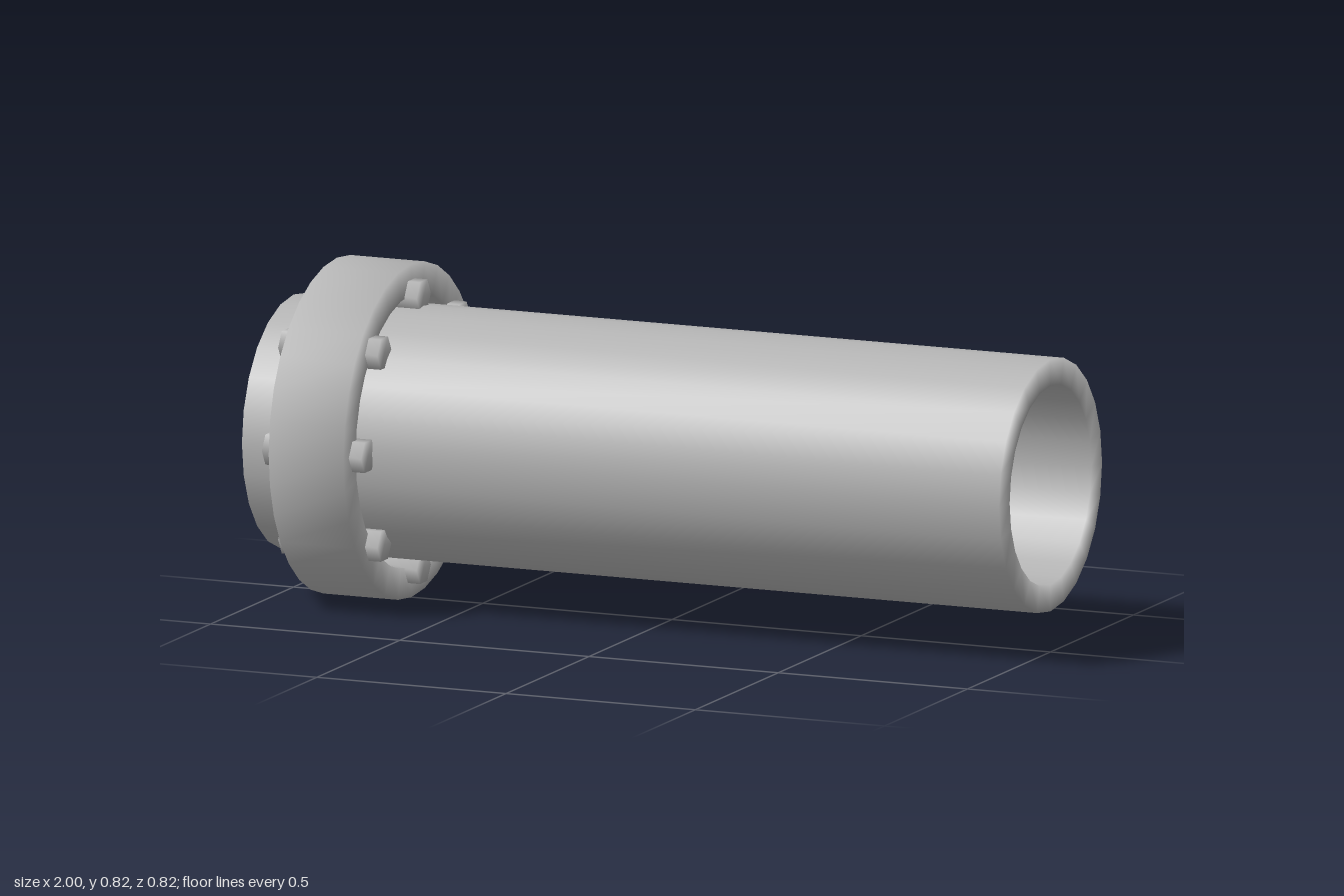
import * as THREE from 'three';
import { mergeVertices } from 'three/addons/utils/BufferGeometryUtils.js';

const AXIS_Y = 0.411;

// Weld all corners so shading rolls softly over the edges, then lay along x
function softAlongX(geometry) {
  geometry.deleteAttribute('uv');
  geometry.deleteAttribute('normal');
  const welded = mergeVertices(geometry, 1e-4);
  welded.computeVertexNormals();
  return welded.rotateZ(-Math.PI / 2);
}

// Hollow tube with closed annular ends
function tube(outer, inner, length, segments) {
  const h = length / 2;
  const profile = [[outer, -h], [outer, h], [inner, h], [inner, -h], [outer, -h]]
    .map(([r, y]) => new THREE.Vector2(r, y));
  return softAlongX(new THREE.LatheGeometry(profile, segments));
}

export function createModel() {
  const model = new THREE.Group();
  model.name = 'flangedPipe';
  const metal = new THREE.MeshStandardMaterial({ color: 0xb4b4b4 });
  metal.name = 'grey metal';

  const add = (name, geometry, x, y, z) => {
    const mesh = new THREE.Mesh(geometry, metal);
    mesh.name = name;
    mesh.position.set(x, y, z);
    model.add(mesh);
  };

  // Main pipe
  add('pipe', tube(0.311, 0.246, 2, 24), 0, AXIS_Y, 0);

  // Flange ring near the left end
  const flangeX = -0.787;
  add('flange', tube(0.411, 0.336, 0.197, 32), flangeX, AXIS_Y, 0);

  // Eight hexagonal bolts through the flange, all with the same orientation
  const boltGeometry = softAlongX(new THREE.CylinderGeometry(0.043, 0.043, 0.262, 6));
  for (let i = 0; i < 8; i++) {
    const a = (i * Math.PI) / 4;
    add('bolt' + (i + 1), boltGeometry,
      flangeX, AXIS_Y + 0.335 * Math.cos(a), 0.335 * Math.sin(a));
  }
  return model;
}
